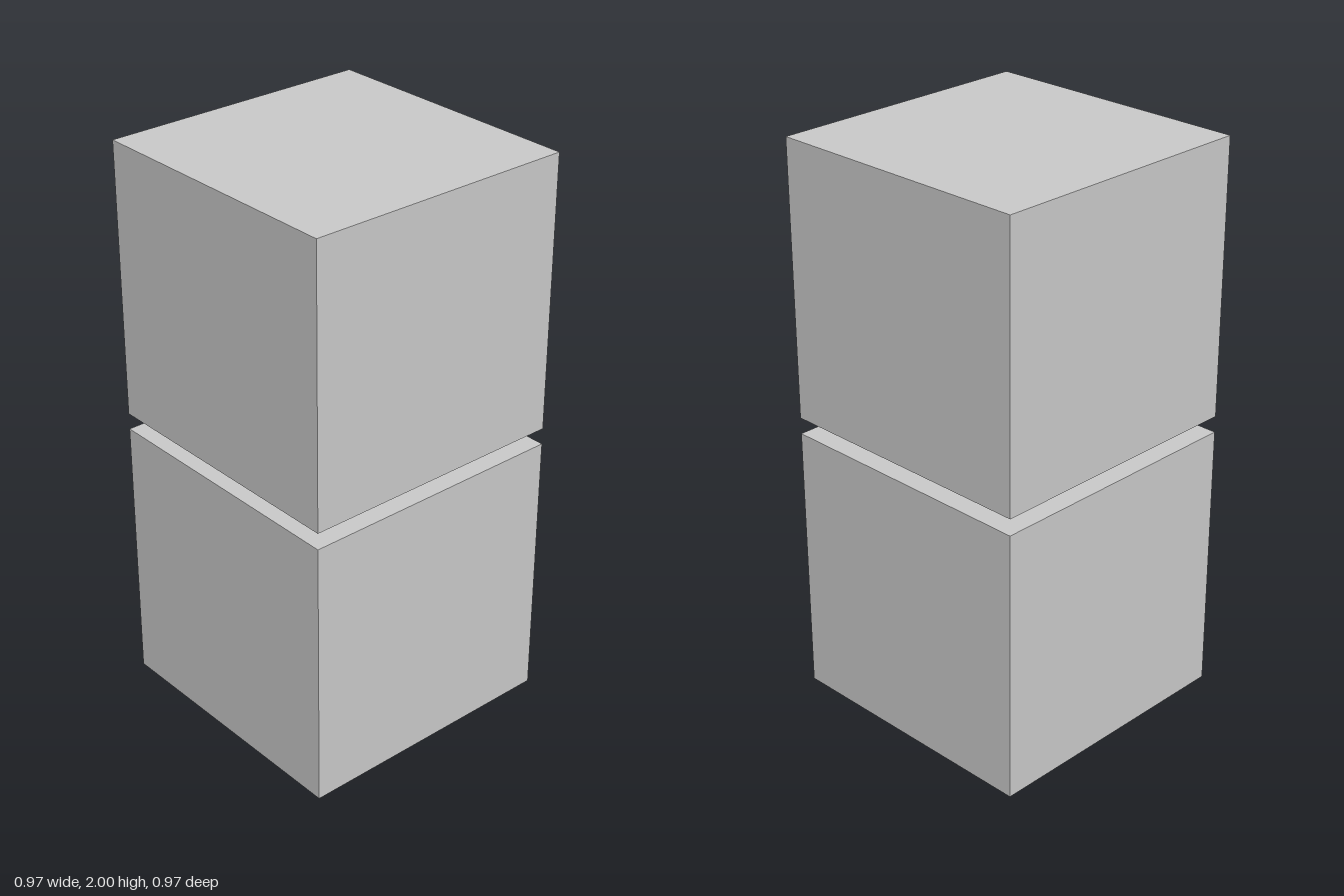
import * as THREE from 'three';

const SIZE = 0.971; // cube edge
const HEIGHT = 2; // overall height, leaving a thin gap between the cubes

export function createModel() {
  const model = new THREE.Group();
  model.name = 'stackedCubes';
  const material = new THREE.MeshStandardMaterial({ color: 0xcccccc });
  const geometry = new THREE.BoxGeometry(SIZE, SIZE, SIZE);

  const addCube = (name, y) => {
    const cube = new THREE.Mesh(geometry, material);
    cube.name = name;
    cube.position.y = y;
    model.add(cube);
  };

  // Two equal cubes, one floating just above the other
  addCube('lowerCube', SIZE / 2);
  addCube('upperCube', HEIGHT - SIZE / 2);

  return model;
}
